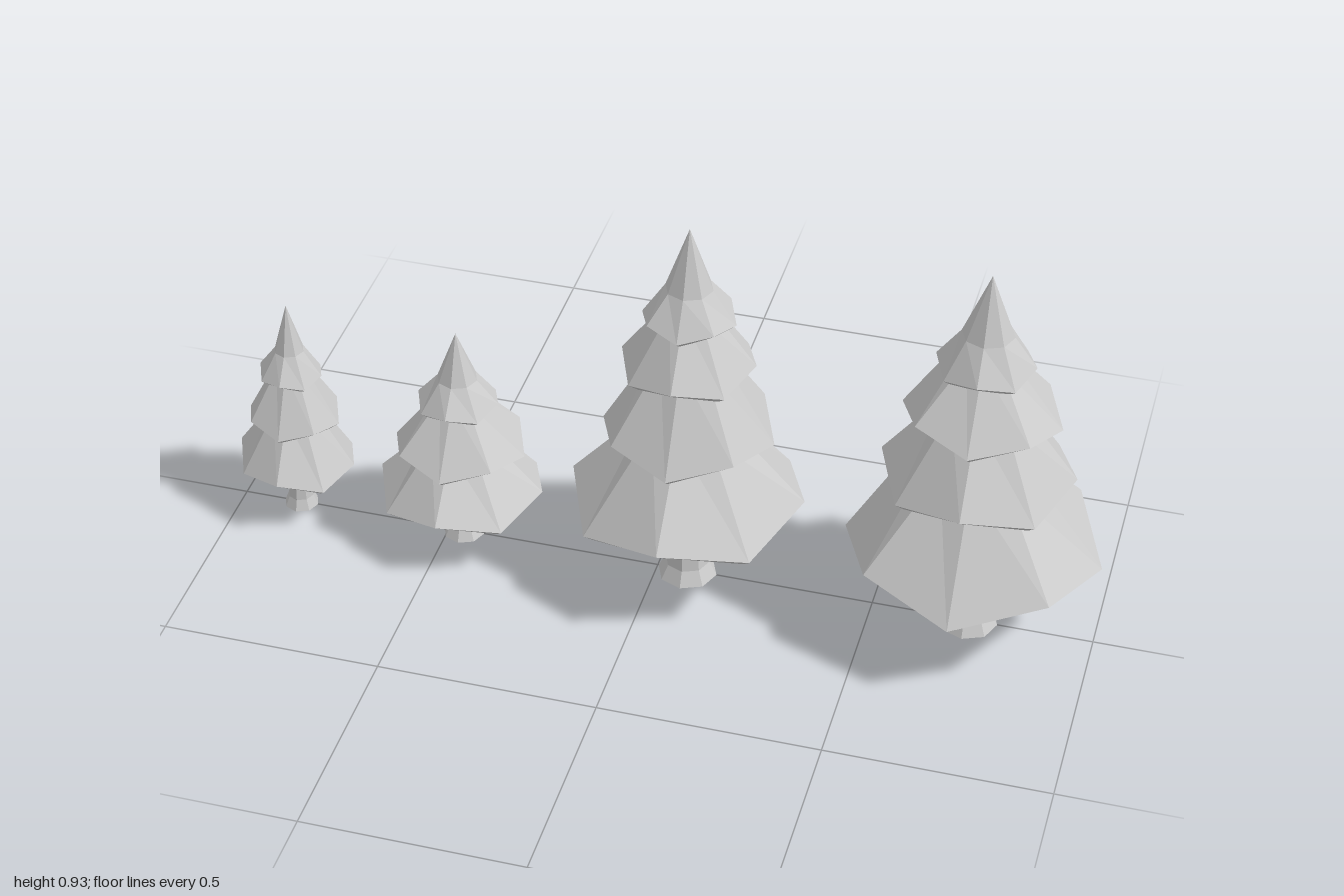
import * as THREE from 'three';

const SIDES = 8;
const material = new THREE.MeshStandardMaterial({ color: 0xcccccc, flatShading: true, side: THREE.DoubleSide });

// x position, size factor, rim phase (+1: axis corners high), apex height, trunk base radius,
// bend of the top cone [radius, y], tiers from the bottom [rim radius, rim y, slope in x, slope in z]
const TREES = [
  { x: -0.863, k: 0.75, phase: 1, apex: 0.56, trunk: 0.04, bend: [0.034, 0.44],
    tiers: [[0.137, 0.138, -0.08, 0], [0.107, 0.262, -0.04, 0], [0.073, 0.378, -0.06, 0]] },
  { x: -0.464, k: 0.75, phase: 1, apex: 0.56, trunk: 0.048, bend: [0.046, 0.44],
    tiers: [[0.192, 0.14, 0, 0.01], [0.152, 0.262, -0.02, 0], [0.094, 0.378, 0, 0]] },
  { x: 0.07, k: 1, phase: 1, apex: 0.934, trunk: 0.068, bend: [0.053, 0.785],
    tiers: [[0.267, 0.23, 0.02, 0], [0.195, 0.415, 0, 0], [0.151, 0.592, 0.02, 0], [0.105, 0.712, 0, 0]] },
  { x: 0.717, k: 1, phase: -1, apex: 0.934, trunk: 0.068, bend: [0.057, 0.788],
    tiers: [[0.286, 0.232, 0, -0.026], [0.214, 0.428, 0, 0], [0.174, 0.587, -0.03, 0.04], [0.108, 0.711, 0, 0]] },
];

function lathe(name, points) {
  const geometry = new THREE.LatheGeometry(points.map(([r, y]) => new THREE.Vector2(r, y)), SIDES);
  const mesh = new THREE.Mesh(geometry, material);
  mesh.name = name;
  return mesh;
}

// Hollow skirt with an inward-sloping lip; the rim zigzags and may lean a little
function makeTier(tree, i) {
  const [r, y, sx, sz] = tree.tiers[i];
  const next = tree.tiers[i + 1];
  const lip = 0.024 * tree.k;
  const drop = 0.02 * tree.k;
  const upper = next
    ? [[next[0] * 0.47, next[1] + 0.025 * tree.k], [0, next[1] + 0.03 * tree.k]]
    : [tree.bend, [0, tree.apex]];
  const [rt, yt] = upper[0];
  const profile = [[0, yt - 0.02], [rt * 0.75, yt - 0.03], [r - lip, y - drop], [r, y], ...upper];
  const mesh = lathe(next ? 'foliageTier' : 'foliageTop', profile);

  const zigzag = r * 0.075 * tree.phase * (i % 2 ? -1 : 1);
  const p = mesh.geometry.attributes.position;
  for (let v = 0; v < p.count; v++) {
    const j = v % profile.length;
    if (j !== 2 && j !== 3) continue;
    const corner = Math.floor(v / profile.length) % 2 ? -1 : 1;
    p.setY(v, p.getY(v) + corner * zigzag + p.getX(v) * sx + p.getZ(v) * sz);
  }
  mesh.geometry.computeVertexNormals();
  return mesh;
}

// Flared trunk with a closed base, reaching up into the foliage
function makeTrunk(tree) {
  const t = tree.trunk;
  const top = tree.tiers[1][1];
  return lathe('trunk', [[0, 0], [t, 0], [t * 0.75, 0.035 * tree.k], [t * 0.58, 0.13 * tree.k], [t * 0.5, top], [0, top]]);
}

export function createModel() {
  const group = new THREE.Group();
  group.name = 'treeRow';
  TREES.forEach((tree, n) => {
    const g = new THREE.Group();
    g.name = 'tree' + (n + 1);
    g.position.x = tree.x;
    g.add(makeTrunk(tree));
    tree.tiers.forEach((_, i) => g.add(makeTier(tree, i)));
    group.add(g);
  });
  return group;
}
